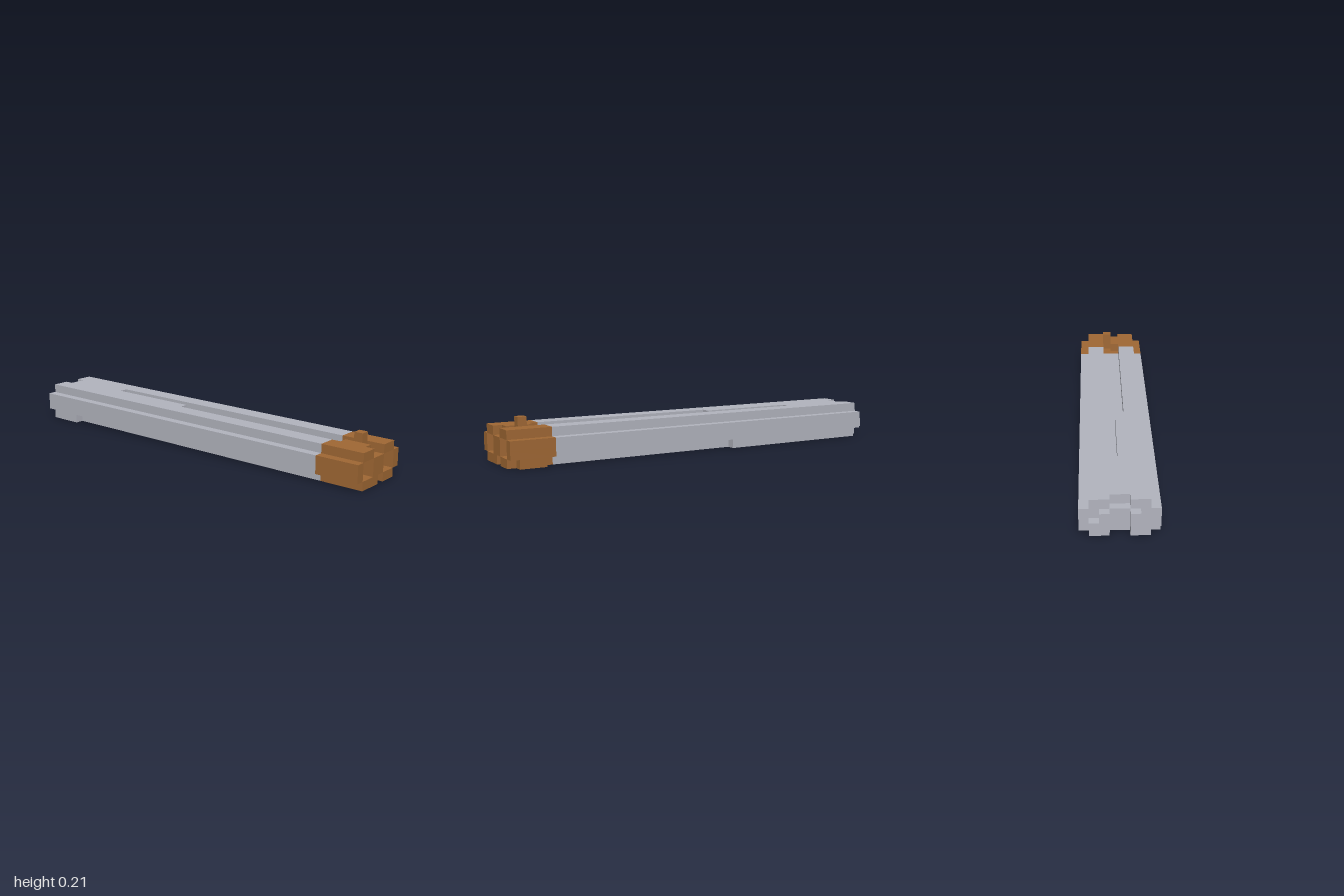
import * as THREE from 'three';

// The model sits on a grid of 47 x 5 x 8 cubic cells.
const SIZE = [47, 5, 8];
const U = 2 / 47;
const BODY = 1, PEGS = 2, CAP = 3, NUB = 4;

export function createModel() {
  const grey = new THREE.MeshStandardMaterial({ color: 0xb2b4be });
  grey.name = 'grey metal';
  const brown = new THREE.MeshStandardMaterial({ color: 0xa06834 });
  brown.name = 'brown wood';

  const cells = new Uint8Array(SIZE[0] * SIZE[1] * SIZE[2]);
  const index = (x, y, z) => (y * SIZE[2] + z) * SIZE[0] + x;
  const inside = (p) => p.every((c, i) => c >= 0 && c < SIZE[i]);
  const get = (p) => (inside(p) ? cells[index(...p)] : 0);
  // fill a block of cells (upper bounds excluded); part 0 carves it away
  const block = (part, x0, x1, y0, y1, z0, z1) => {
    for (let x = x0; x < x1; x++)
      for (let y = y0; y < y1; y++)
        for (let z = z0; z < z1; z++) cells[index(x, y, z)] = part;
  };

  // Stepped bar: wide in the middle rows, narrower above and below
  for (const [part, x0, x1] of [[BODY, 1, 42], [CAP, 42, 47]]) {
    block(part, x0, x1, 0, 4, 1, 7);
    block(part, x0, x1, 1, 3, 0, 8);
  }
  // Feet along the lower edges
  block(BODY, 2, 6, 0, 1, 7, 8);
  block(BODY, 2, 20, 0, 1, 0, 1);
  block(CAP, 43, 46, 0, 1, 0, 1);
  // Grooves in the top
  block(0, 10, 47, 3, 4, 3, 4);
  block(0, 21, 43, 3, 4, 4, 5);
  block(0, 46, 47, 3, 4, 4, 5);
  // Groove and notch underneath
  block(0, 31, 43, 0, 1, 3, 4);
  block(0, 46, 47, 0, 1, 3, 4);
  // Sockets in the cap, one with a deeper pocket
  block(0, 42, 47, 1, 3, 1, 3);
  block(0, 42, 47, 1, 3, 5, 7);
  block(0, 38, 42, 1, 2, 5, 6);
  // Notches in the far end
  block(0, 1, 2, 3, 4, 3, 5);
  block(0, 1, 2, 0, 1, 3, 5);
  // Pegs on the far end
  block(PEGS, 0, 1, 1, 2, 1, 2);
  block(PEGS, 0, 1, 1, 3, 2, 3);
  block(PEGS, 0, 1, 1, 3, 5, 6);
  // Sighting nub
  block(NUB, 44, 45, 3, 5, 3, 4);

  // Outer faces of one part, joined into long strips along x
  function surface(part) {
    const pos = [], nor = [], idx = [];
    for (let d = 0; d < 3; d++) for (const s of [1, -1]) {
      const shows = (x, y, z) => {
        if (get([x, y, z]) !== part) return false;
        const n = [x, y, z];
        n[d] += s;
        return get(n) === 0;
      };
      for (let y = 0; y < SIZE[1]; y++) for (let z = 0; z < SIZE[2]; z++) {
        for (let x = 0; x < SIZE[0]; x++) {
          if (!shows(x, y, z)) continue;
          const lo = [x, y, z];
          if (d !== 0) while (shows(x + 1, y, z)) x++;
          const hi = [x + 1, y + 1, z + 1];
          const a = (d + 1) % 3, b = (d + 2) % 3, base = pos.length / 3;
          for (const [i, j] of [[0, 0], [1, 0], [1, 1], [0, 1]]) {
            const p = [0, 0, 0], n = [0, 0, 0];
            p[d] = s > 0 ? hi[d] : lo[d];
            p[a] = i ? hi[a] : lo[a];
            p[b] = j ? hi[b] : lo[b];
            n[d] = s;
            pos.push(p[0] * U - 1, p[1] * U, (p[2] - 4) * U);
            nor.push(...n);
          }
          const order = s > 0 ? [0, 1, 2, 0, 2, 3] : [0, 2, 1, 0, 3, 2];
          idx.push(...order.map((o) => base + o));
        }
      }
    }
    const g = new THREE.BufferGeometry();
    g.setAttribute('position', new THREE.Float32BufferAttribute(pos, 3));
    g.setAttribute('normal', new THREE.Float32BufferAttribute(nor, 3));
    g.setIndex(idx);
    return g;
  }

  const group = new THREE.Group();
  group.name = 'slottedBar';
  for (const [part, name, material] of [
    [BODY, 'body', grey], [PEGS, 'endPegs', grey],
    [CAP, 'endCap', brown], [NUB, 'topNub', brown],
  ]) {
    const mesh = new THREE.Mesh(surface(part), material);
    mesh.name = name;
    group.add(mesh);
  }
  return group;
}
